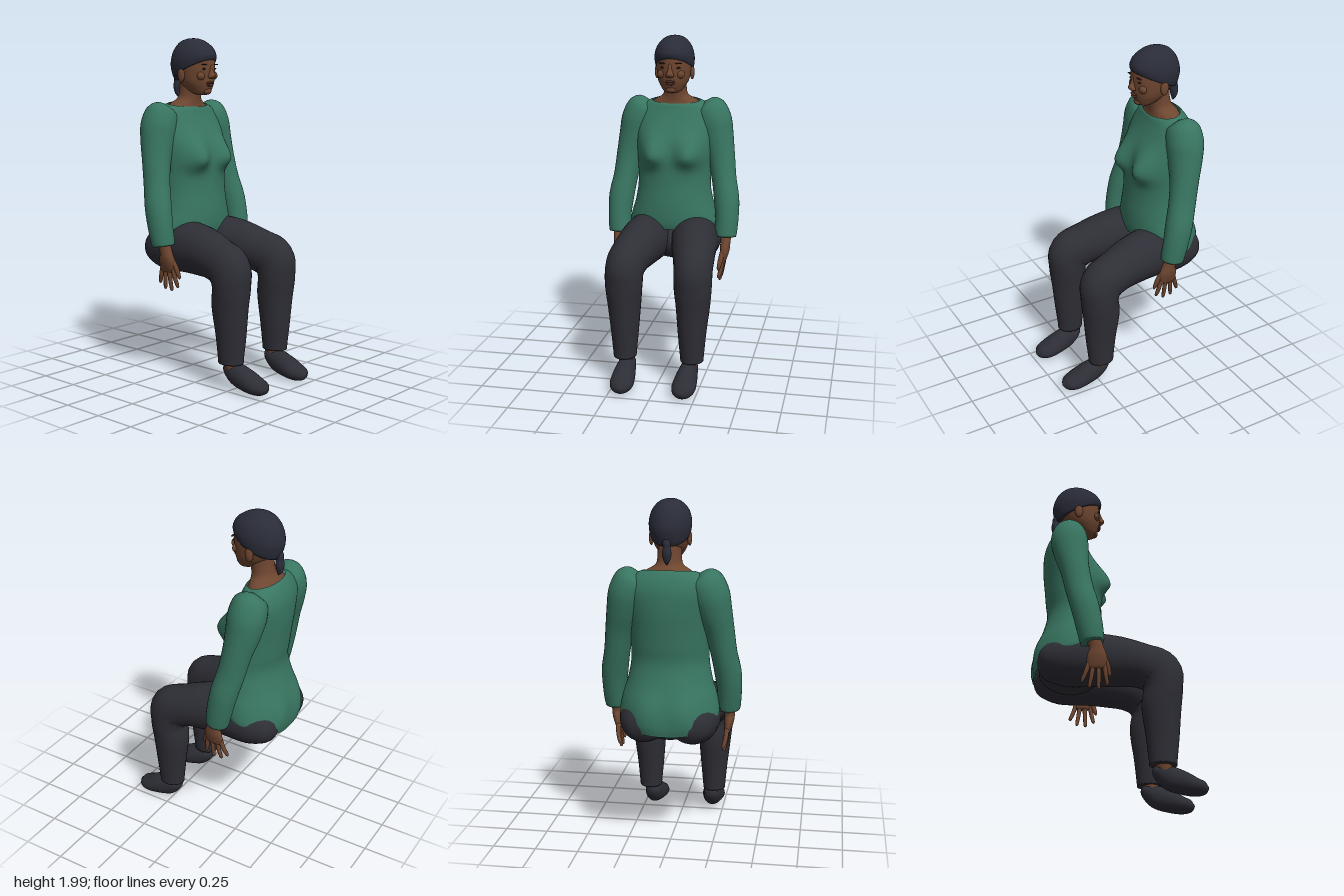
import * as THREE from 'three';

const mat = (name, color) => {
  const m = new THREE.MeshStandardMaterial({ color, side: THREE.DoubleSide });
  m.name = name;
  return m;
};

// Smooth tube through elliptical rings [x, y, z, halfWidth, halfDepth, tilt].
// Rings follow the path unless a tilt about x is given. p.caps closes the ends.
function loft(rings, { sides = 28, steps = 5, caps = true, level = false, deform } = {}) {
  const path = new THREE.CatmullRomCurve3(rings.map(r => new THREE.Vector3(r[0], r[1], r[2])), false, 'catmullrom');
  const size = new THREE.CatmullRomCurve3(rings.map(r => new THREE.Vector3(r[3], r[4], r[5] || 0)), false, 'catmullrom');
  const n = (rings.length - 1) * steps, pos = [], idx = [];
  const X = new THREE.Vector3(1, 0, 0);
  for (let i = 0; i <= n; i++) {
    const c = path.getPoint(i / n), s = size.getPoint(i / n), d = path.getTangent(i / n);
    const v = level ? new THREE.Vector3(0, Math.sin(s.z), Math.cos(s.z)) : X.clone().cross(d).normalize();
    const u = level ? X : d.clone().cross(v);
    for (let j = 0; j < sides; j++) {
      const a = j / sides * Math.PI * 2;
      const p = c.clone().addScaledVector(u, Math.max(s.x, 0.001) * Math.cos(a))
        .addScaledVector(v, Math.max(s.y, 0.001) * Math.sin(a));
      if (deform) deform(p, c);
      pos.push(p.x, p.y, p.z);
      if (i < n) {
        const k = i * sides + j, l = i * sides + (j + 1) % sides;
        idx.push(k, k + sides, l, l, k + sides, l + sides);
      }
    }
  }
  if (caps) {
    const a = path.getPoint(0), b = path.getPoint(1), A = pos.length / 3, end = n * sides;
    pos.push(a.x, a.y, a.z, b.x, b.y, b.z);
    for (let j = 0; j < sides; j++) {
      const k = (j + 1) % sides;
      idx.push(A, j, k, A + 1, end + k, end + j);
    }
  }
  const g = new THREE.BufferGeometry();
  g.setAttribute('position', new THREE.Float32BufferAttribute(pos, 3));
  g.setIndex(idx);
  g.computeVertexNormals();
  return g;
}

// Bust on the front of the shirt and fullness at the seat
function shapeTorso(p, c) {
  const blob = (x, y, w, h) => Math.exp(-(((Math.abs(p.x) - x) / w) ** 2) - ((p.y - y) / h) ** 2);
  if (p.z > c.z) p.z += 0.075 * blob(0.115, 1.3, 0.075, p.y < 1.3 ? 0.065 : 0.1);
  else p.z -= 0.025 * blob(0.12, 0.83, 0.09, 0.12);
}

export function createModel() {
  const root = new THREE.Group();
  root.name = 'seatedFigure';
  const skin = mat('skin', 0x6e4630), shirt = mat('greenShirt', 0x387561);
  const cloth = mat('darkTrousers', 0x2e2e36), shoe = mat('darkShoe', 0x2d2d36);
  const hair = mat('hair', 0x2a2c38), lip = mat('lips', 0x5c362b), eye = mat('eyes', 0x2a1c18);

  const add = (name, geo, m) => {
    const mesh = new THREE.Mesh(geo, m);
    mesh.name = name;
    root.add(mesh);
    return mesh;
  };
  const ball = (name, m, [x, y, z], [a, b, c]) => {
    const g = new THREE.SphereGeometry(1, 24, 16);
    g.scale(a, b, c);
    return add(name, g.translate(x, y, z), m);
  };

  // Shirt body, from hem to neckline
  add('shirtBody', loft([
    [0, 0.785, -0.272, 0.275, 0.208, 0.36],
    [0, 0.83, -0.27, 0.283, 0.21, 0.3],
    [0, 0.91, -0.262, 0.268, 0.198, 0.18],
    [0, 1.0, -0.248, 0.24, 0.178, 0.08],
    [0, 1.1, -0.24, 0.222, 0.16, 0],
    [0, 1.2, -0.248, 0.222, 0.162, 0],
    [0, 1.3, -0.257, 0.228, 0.163, 0],
    [0, 1.4, -0.27, 0.24, 0.16, 0],
    [0, 1.5, -0.293, 0.25, 0.137, 0],
    [0, 1.56, -0.297, 0.225, 0.118, -0.06],
    [0, 1.6, -0.29, 0.178, 0.1, -0.12],
    [0, 1.613, -0.285, 0.145, 0.088, -0.15],
  ], { sides: 56, caps: false, level: true, deform: shapeTorso }), shirt);

  // Neck, spreading out under the neckline
  add('neck', loft([
    [0, 1.59, -0.285, 0.15, 0.088, -0.15], [0, 1.615, -0.283, 0.125, 0.078, -0.12],
    [0, 1.645, -0.272, 0.078, 0.068, -0.05], [0, 1.69, -0.262, 0.067, 0.066, 0],
    [0, 1.78, -0.25, 0.068, 0.07, 0],
  ], { level: true }), skin);

  // Head and face
  add('head', loft([
    [0, 1.668, -0.165, 0.02, 0.02], [0, 1.677, -0.17, 0.047, 0.045], [0, 1.7, -0.187, 0.068, 0.075],
    [0, 1.74, -0.205, 0.09, 0.106], [0, 1.79, -0.22, 0.101, 0.126], [0, 1.84, -0.23, 0.106, 0.138],
    [0, 1.89, -0.235, 0.103, 0.135], [0, 1.95, -0.235, 0.07, 0.085],
  ], { level: true, sides: 36 }), skin);
  add('nose', loft([
    [0, 1.765, -0.092, 0.012, 0.008], [0, 1.773, -0.09, 0.026, 0.017], [0, 1.787, -0.088, 0.022, 0.022],
    [0, 1.81, -0.093, 0.012, 0.014], [0, 1.845, -0.1, 0.009, 0.008],
  ], { level: true, sides: 16 }), skin);
  ball('upperLip', lip, [0, 1.741, -0.101], [0.03, 0.007, 0.012]);
  ball('lowerLip', lip, [0, 1.728, -0.103], [0.026, 0.008, 0.013]);
  ball('chin', skin, [0, 1.692, -0.125], [0.03, 0.02, 0.018]);

  // Close-fitting hair and tied tail
  add('hairCap', loft([
    [0, 1.812, -0.226, 0.109, 0.145, 0.43], [0, 1.835, -0.23, 0.115, 0.152, 0.35],
    [0, 1.88, -0.236, 0.117, 0.152, 0.2], [0, 1.935, -0.236, 0.102, 0.13, 0.08],
    [0, 1.976, -0.236, 0.07, 0.088, 0], [0, 1.995, -0.236, 0.035, 0.042, 0], [0, 2.0, -0.236, 0.002, 0.002, 0],
  ], { level: true, sides: 40 }), hair);
  add('hairTail', loft([
    [0, 1.805, -0.345, 0.018, 0.02], [0, 1.775, -0.367, 0.022, 0.018], [0, 1.75, -0.365, 0.021, 0.022],
    [0, 1.715, -0.367, 0.026, 0.024], [0, 1.68, -0.366, 0.018, 0.017], [0, 1.655, -0.36, 0.004, 0.004],
  ], { sides: 16 }), hair);

  // Seat of the trousers
  ball('trouserSeat', cloth, [0, 0.765, -0.26], [0.2, 0.122, 0.18]);

  for (const s of [1, -1]) {
    const side = s > 0 ? 'left' : 'right';
    const limb = (name, rings, m, opts) =>
      add(side + name, loft(rings.map(([x, ...r]) => [s * x, ...r]), opts), m);

    // Face details
    ball(side + 'Ear', skin, [s * 0.106, 1.785, -0.235], [0.013, 0.042, 0.025]).name = side + 'Ear';
    ball(side + 'Eye', eye, [s * 0.043, 1.822, -0.108], [0.017, 0.006, 0.007]);
    ball(side + 'Brow', eye, [s * 0.046, 1.847, -0.104], [0.025, 0.004, 0.008]);
    ball(side + 'Cheek', skin, [s * 0.052, 1.782, -0.125], [0.03, 0.026, 0.02]);

    // Sleeve
    limb('Sleeve', [
      [0.17, 1.605, -0.3, 0.01, 0.01], [0.19, 1.578, -0.3, 0.09, 0.085], [0.225, 1.5, -0.3, 0.108, 0.108],
      [0.25, 1.4, -0.29, 0.1, 0.1], [0.28, 1.28, -0.27, 0.083, 0.084], [0.303, 1.15, -0.245, 0.074, 0.08],
      [0.324, 1.03, -0.215, 0.076, 0.08], [0.331, 0.92, -0.192, 0.07, 0.076], [0.328, 0.835, -0.176, 0.067, 0.07],
      [0.328, 0.81, -0.172, 0.063, 0.066],
    ], shirt);

    // Hand with four fingers and a thumb
    limb('Palm', [
      [0.33, 0.84, -0.17, 0.035, 0.042], [0.33, 0.78, -0.15, 0.03, 0.04],
      [0.327, 0.73, -0.145, 0.028, 0.055], [0.318, 0.675, -0.148, 0.02, 0.053], [0.314, 0.66, -0.148, 0.012, 0.042],
    ], skin);
    [[-0.105, -0.085, 0.57], [-0.135, -0.132, 0.545], [-0.163, -0.182, 0.55], [-0.188, -0.222, 0.58]].forEach(
      ([z, tip, y], i) => limb('Finger' + (i + 1), [
        [0.318, 0.69, z, 0.014, 0.014], [0.313, (0.69 + y) / 2, (z + tip) / 2, 0.013, 0.0125],
        [0.302, y + 0.012, tip, 0.01, 0.01], [0.3, y, tip, 0.003, 0.003],
      ], skin, { sides: 10, steps: 4 }));
    limb('Thumb', [
      [0.322, 0.74, -0.115, 0.016, 0.018], [0.312, 0.69, -0.088, 0.015, 0.015],
      [0.302, 0.64, -0.073, 0.011, 0.011], [0.3, 0.622, -0.07, 0.003, 0.003],
    ], skin, { sides: 10, steps: 4 });

    // Trouser leg, bent at the knee
    limb('TrouserLeg', [
      [0.12, 0.745, -0.458, 0.02, 0.02], [0.125, 0.75, -0.42, 0.1, 0.09], [0.138, 0.768, -0.31, 0.142, 0.142],
      [0.146, 0.784, -0.15, 0.143, 0.153], [0.165, 0.775, 0.0, 0.132, 0.145], [0.187, 0.748, 0.13, 0.12, 0.128],
      [0.2, 0.705, 0.22, 0.112, 0.135], [0.203, 0.61, 0.242, 0.109, 0.112], [0.203, 0.5, 0.232, 0.099, 0.111],
      [0.2, 0.34, 0.236, 0.083, 0.094], [0.2, 0.2, 0.236, 0.07, 0.079], [0.2, 0.165, 0.236, 0.067, 0.077],
    ], cloth);

    // Ankle and shoe, heel raised
    limb('Ankle', [[0.195, 0.2, 0.235, 0.048, 0.045], [0.188, 0.12, 0.245, 0.044, 0.044]], skin);
    limb('Shoe', [
      [0.186, 0.156, 0.188, 0.015, 0.012], [0.186, 0.132, 0.213, 0.044, 0.042], [0.185, 0.102, 0.27, 0.056, 0.066],
      [0.183, 0.079, 0.34, 0.066, 0.064], [0.181, 0.058, 0.41, 0.068, 0.05], [0.18, 0.053, 0.462, 0.048, 0.036],
      [0.18, 0.055, 0.487, 0.008, 0.008],
    ], shoe);
  }
  return root;
}
